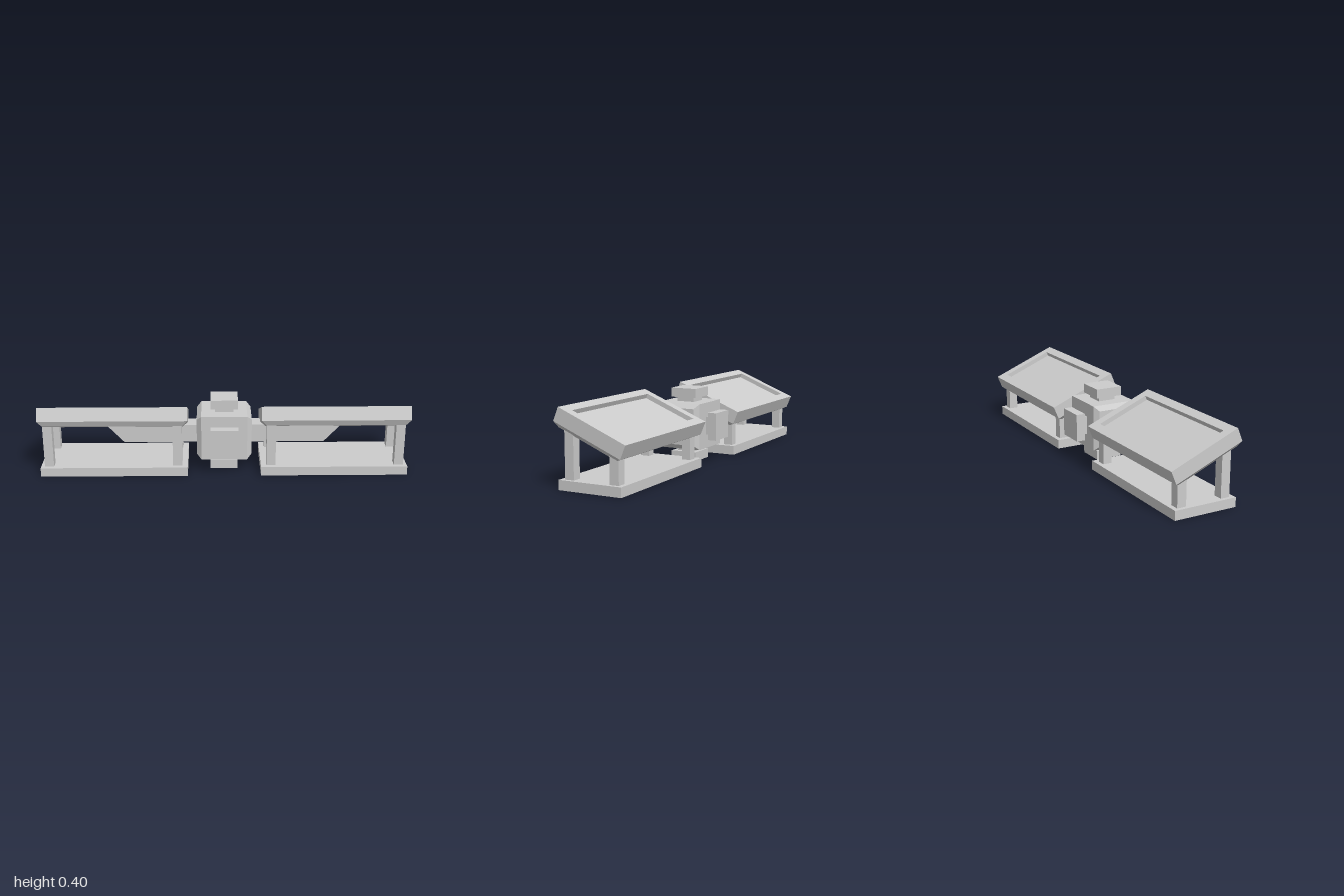
import * as THREE from 'three';

const material = new THREE.MeshStandardMaterial({ color: 0xcccccc, flatShading: true });

function add(parent, name, geometry, x = 0, y = 0, z = 0) {
  const mesh = new THREE.Mesh(geometry, material);
  mesh.name = name;
  mesh.position.set(x, y, z);
  parent.add(mesh);
  return mesh;
}

// Box given by its centre in x and z, and its bottom and top heights
function block(parent, name, width, depth, bottom, top, x = 0, z = 0) {
  const geometry = new THREE.BoxGeometry(width, top - bottom, depth);
  return add(parent, name, geometry, x, (bottom + top) / 2, z);
}

// Closed stack of rectangles [halfX, halfZ, y], joined from first to last
function loftRectangles(rings) {
  const corners = [[1, 1], [1, -1], [-1, -1], [-1, 1]];
  const points = [];
  const index = [];
  for (const [hx, hz, y] of rings) {
    for (const [sx, sz] of corners) points.push(sx * hx, y, sz * hz);
  }
  for (let r = 0; r < rings.length - 1; r++) {
    for (let i = 0; i < 4; i++) {
      const a = r * 4 + i, b = r * 4 + (i + 1) % 4;
      index.push(a, b, b + 4, a, b + 4, a + 4);
    }
  }
  const t = (rings.length - 1) * 4;
  index.push(0, 2, 1, 0, 3, 2, t, t + 1, t + 2, t, t + 2, t + 3);
  const geometry = new THREE.BufferGeometry();
  geometry.setAttribute('position', new THREE.Float32BufferAttribute(points, 3));
  geometry.setIndex(index);
  const flat = geometry.toNonIndexed();
  flat.computeVertexNormals();
  return flat;
}

// Central hub: cube with chamfered ends and four capped ports
function createHub() {
  const hub = new THREE.Group();
  hub.name = 'hub';
  hub.position.y = 0.2;
  const body = loftRectangles([
    [0.1, 0.1, -0.15], [0.125, 0.125, -0.125], [0.125, 0.125, 0.125], [0.1, 0.1, 0.15],
  ]);
  add(hub, 'hubBody', body.rotateZ(-Math.PI / 2));
  ['top', 'front', 'bottom', 'back'].forEach((side, i) => {
    const port = new THREE.Group();
    port.name = side + 'Port';
    port.rotation.x = i * Math.PI / 2;
    block(port, 'portNeck', 0.1, 0.1, 0.12, 0.15);
    block(port, 'portCap', 0.15, 0.15, 0.15, 0.2);
    hub.add(port);
  });
  return hub;
}

// One wing: base, posts, tilted panel and the arm joining it to the hub
function createWing(name, side) {
  const wing = new THREE.Group();
  wing.name = name;
  block(wing, 'base', 0.8, 0.35, 0, 0.05, side * 0.6);
  for (const x of [0.255, 0.955]) {
    block(wing, 'frontPost', 0.05, 0.05, 0.05, 0.3, side * x, 0.125);
    block(wing, 'backPost', 0.05, 0.05, 0.05, 0.2, side * x, -0.125);
  }

  // Panel with chamfered underside and recessed face
  const panel = add(wing, 'panel', loftRectangles([
    [0.375, 0.175, -0.1], [0.4, 0.2, -0.075], [0.4, 0.2, 0],
    [0.35, 0.15, 0], [0.35, 0.15, -0.025],
  ]), side * 0.6, 0.3235, -0.015);
  panel.rotation.x = -Math.PI / 8;

  // Arm with a slanted tip
  const outline = new THREE.Shape([[0.14, 0.15], [0.55, 0.15], [0.645, 0.25], [0.14, 0.25]]
    .map(([x, y]) => new THREE.Vector2(side * x, y)));
  const arm = new THREE.ExtrudeGeometry(outline, { depth: 0.1, bevelEnabled: false });
  add(wing, 'arm', arm, 0, 0, -0.05);
  return wing;
}

export function createModel() {
  const model = new THREE.Group();
  model.name = 'twinPanelUnit';
  model.add(createHub(), createWing('leftWing', 1), createWing('rightWing', -1));
  return model;
}
